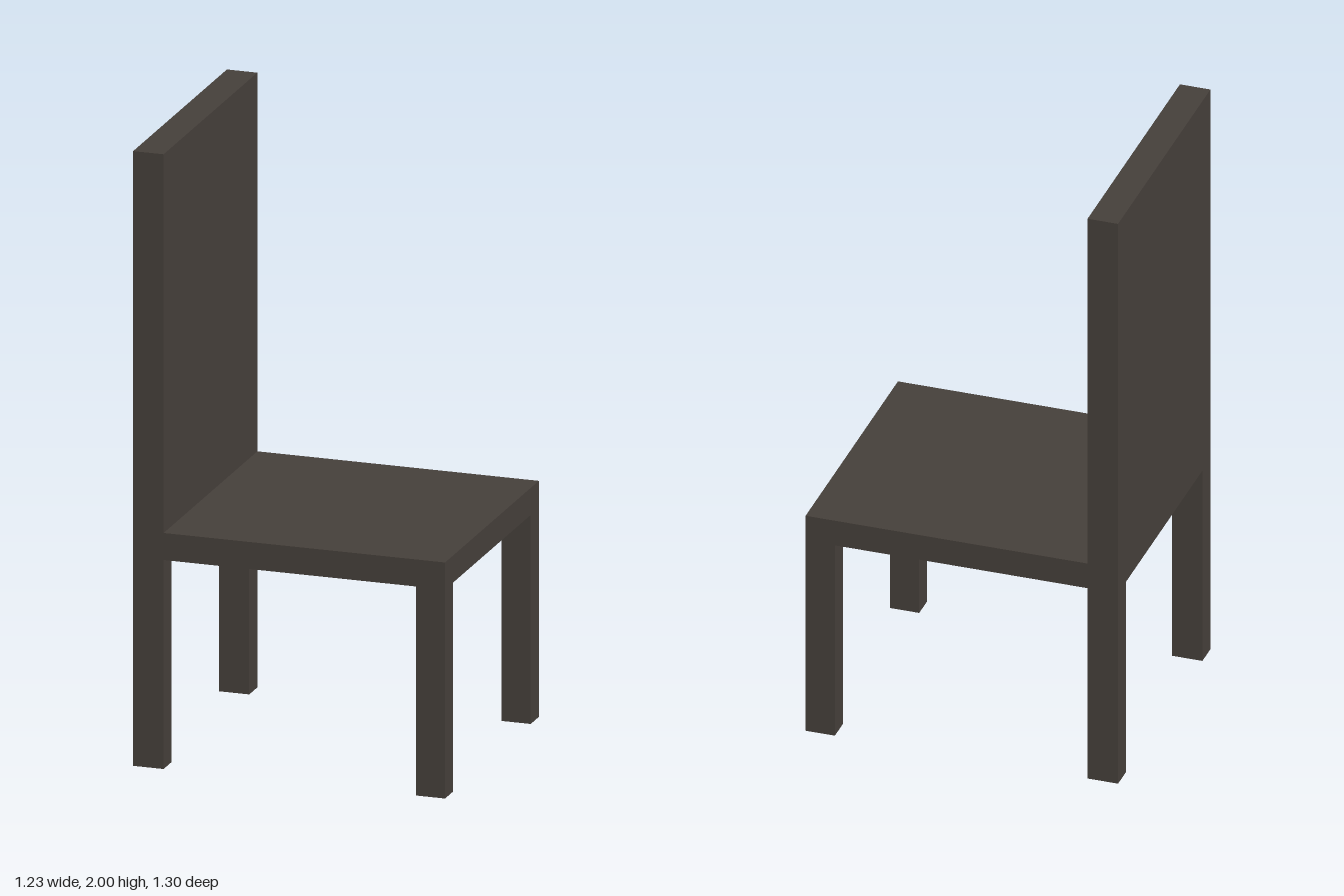
import * as THREE from 'three';

const WIDTH = 0.887, DEPTH = 1.024;
const SEAT_BOTTOM = 0.68, SEAT_TOP = 0.768, HEIGHT = 2;
const BACK_DEPTH = 0.1, FRONT_LEG_DEPTH = 0.096, LEG_WIDTH = 0.077;

export function createModel() {
  const model = new THREE.Group();
  model.name = 'chair';
  const wood = new THREE.MeshStandardMaterial({ color: 0x453f3a });

  // Box given by its lower and upper limits in y and z
  function addBox(name, width, x, y0, y1, z0, z1) {
    const mesh = new THREE.Mesh(new THREE.BoxGeometry(width, y1 - y0, z1 - z0), wood);
    mesh.position.set(x, (y0 + y1) / 2, (z0 + z1) / 2);
    mesh.name = name;
    model.add(mesh);
  }

  const rear = -DEPTH / 2, front = DEPTH / 2;

  // Seat slab butts against the tall back panel
  addBox('seat', WIDTH, 0, SEAT_BOTTOM, SEAT_TOP, rear + BACK_DEPTH, front);
  addBox('backrest', WIDTH, 0, SEAT_BOTTOM, HEIGHT, rear, rear + BACK_DEPTH);

  // Legs flush with the four corners
  for (const [side, sign] of [['left', 1], ['right', -1]]) {
    const x = sign * (WIDTH - LEG_WIDTH) / 2;
    addBox(side + 'FrontLeg', LEG_WIDTH, x, 0, SEAT_BOTTOM, front - FRONT_LEG_DEPTH, front);
    addBox(side + 'BackLeg', LEG_WIDTH, x, 0, SEAT_BOTTOM, rear, rear + BACK_DEPTH);
  }

  // The whole chair stands turned about the vertical axis
  model.rotation.y = 0.419;
  return model;
}
